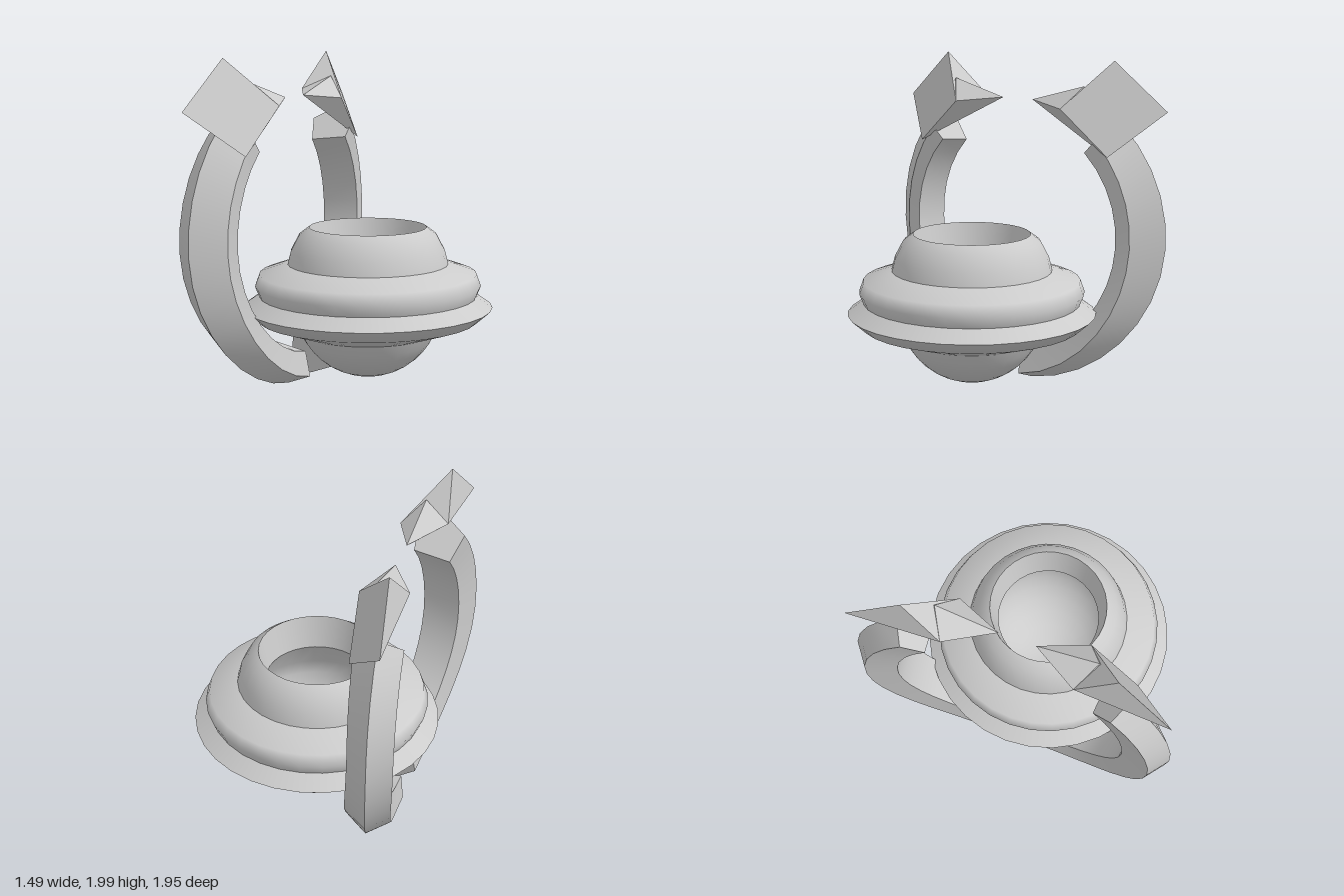
import * as THREE from 'three';
import { toCreasedNormals } from 'three/addons/utils/BufferGeometryUtils.js';
import { ConvexGeometry } from 'three/addons/geometries/ConvexGeometry.js';

const grey = new THREE.MeshStandardMaterial({ color: 0xcccccc });
const greyOpen = new THREE.MeshStandardMaterial({ color: 0xcccccc, side: THREE.DoubleSide });
const greyFlat = new THREE.MeshStandardMaterial({ color: 0xcccccc, flatShading: true });

function part(name, geometry, material) {
  const mesh = new THREE.Mesh(geometry, material);
  mesh.name = name;
  return mesh;
}

// One smooth band of the hull; separate bands keep the edges between them sharp
function band(name, profile) {
  const points = profile.map(([r, y]) => new THREE.Vector2(r, y));
  return part(name, new THREE.LatheGeometry(points, 32), greyOpen);
}

// Points of a round bowl from the bottom up to a given height
function bowlProfile(radius, centreY, topY, steps = 8) {
  const end = Math.acos((centreY - topY) / radius);
  return Array.from({ length: steps + 1 }, (_, i) => {
    const a = (end * i) / steps;
    return [radius * Math.sin(a), centreY - radius * Math.cos(a)];
  });
}

function createHull() {
  const hull = new THREE.Group();
  hull.name = 'hull';
  hull.add(
    band('lowerBowl', bowlProfile(0.442, 0.527, 0.35)),
    band('rimUnderside', [[0.405, 0.35], [0.66, 0.435], [0.745, 0.51]]),
    band('rimTop', [[0.745, 0.51], [0.65, 0.577]]),
    band('ring', [[0.65, 0.577], [0.675, 0.64], [0.65, 0.71], [0.48, 0.77]]),
    band('collar', [[0.48, 0.77], [0.46, 0.85], [0.41, 0.945], [0.35, 0.99]]),
    band('openingWall', [[0.35, 0.99], [0.305, 0.79]]),
    band('innerBowl', [...bowlProfile(0.425, 0.527, 0.6), [0.305, 0.79]])
  );
  hull.position.z = -0.007;
  return hull;
}

// Five-sided arm sections as [x, radius]: at mid height and at the lower end
const midSection = [[-0.62, 0.935], [-0.46, 0.78], [-0.45, 0.69], [-0.68, 0.66], [-0.745, 0.84]];
const endSection = [[-0.47, 0.945], [-0.32, 0.89], [-0.36, 0.74], [-0.58, 0.7], [-0.6, 0.85]];

function armGeometry() {
  const steps = 13, n = midSection.length;
  const from = THREE.MathUtils.degToRad(-84), to = THREE.MathUtils.degToRad(47);
  const positions = [], index = [];
  for (let i = 0; i <= steps; i++) {
    const a = from + ((to - from) * i) / steps;
    const s = Math.sin(a), c = Math.cos(a);
    // the section drifts inward away from mid height
    const blend = s * s * (s > 0 ? 0.5 : 1);
    for (let j = 0; j < n; j++) {
      const x = THREE.MathUtils.lerp(midSection[j][0], endSection[j][0], blend);
      const r = THREE.MathUtils.lerp(midSection[j][1], endSection[j][1], blend);
      positions.push(x, 0.95 + r * s, 0.04 + r * c);
    }
  }
  for (let i = 0; i < steps; i++) {
    for (let j = 0; j < n; j++) {
      const a = i * n + j, b = i * n + ((j + 1) % n);
      index.push(a, b, a + n, b, b + n, a + n);
    }
  }
  // End caps
  const top = steps * n;
  for (let j = 1; j < n - 1; j++) {
    index.push(0, j + 1, j, top, top + j, top + j + 1);
  }
  const geometry = new THREE.BufferGeometry();
  geometry.setAttribute('position', new THREE.Float32BufferAttribute(positions, 3));
  geometry.setIndex(index);
  return toCreasedNormals(geometry, 0.45);
}

function convex(points) {
  return new ConvexGeometry(points.map((p) => new THREE.Vector3(...p)));
}

function createArm(name) {
  const arm = new THREE.Group();
  arm.name = name;
  // Corners of the diamond head and its spike
  const top = [-0.61, 2.0, 0.61], outer = [-0.67, 1.71, 0.94];
  const bottom = [-0.42, 1.45, 0.68], inner = [-0.375, 1.72, 0.38];
  const back = [-0.66, 1.77, 0.38], ridge = [-0.5, 1.85, 0.47], tip = [-0.495, 1.75, 0.107];
  arm.add(
    part('curvedArm', armGeometry(), grey),
    part('armHead', convex([top, outer, bottom, inner, back]), greyFlat),
    part('armSpike', convex([inner, bottom, back, ridge, tip]), greyFlat)
  );
  return arm;
}

export function createModel() {
  const model = new THREE.Group();
  model.name = 'hullWithArms';
  const frontArm = createArm('frontArm');
  const backArm = createArm('backArm');
  backArm.scale.z = -1;
  model.add(createHull(), frontArm, backArm);
  return model;
}
